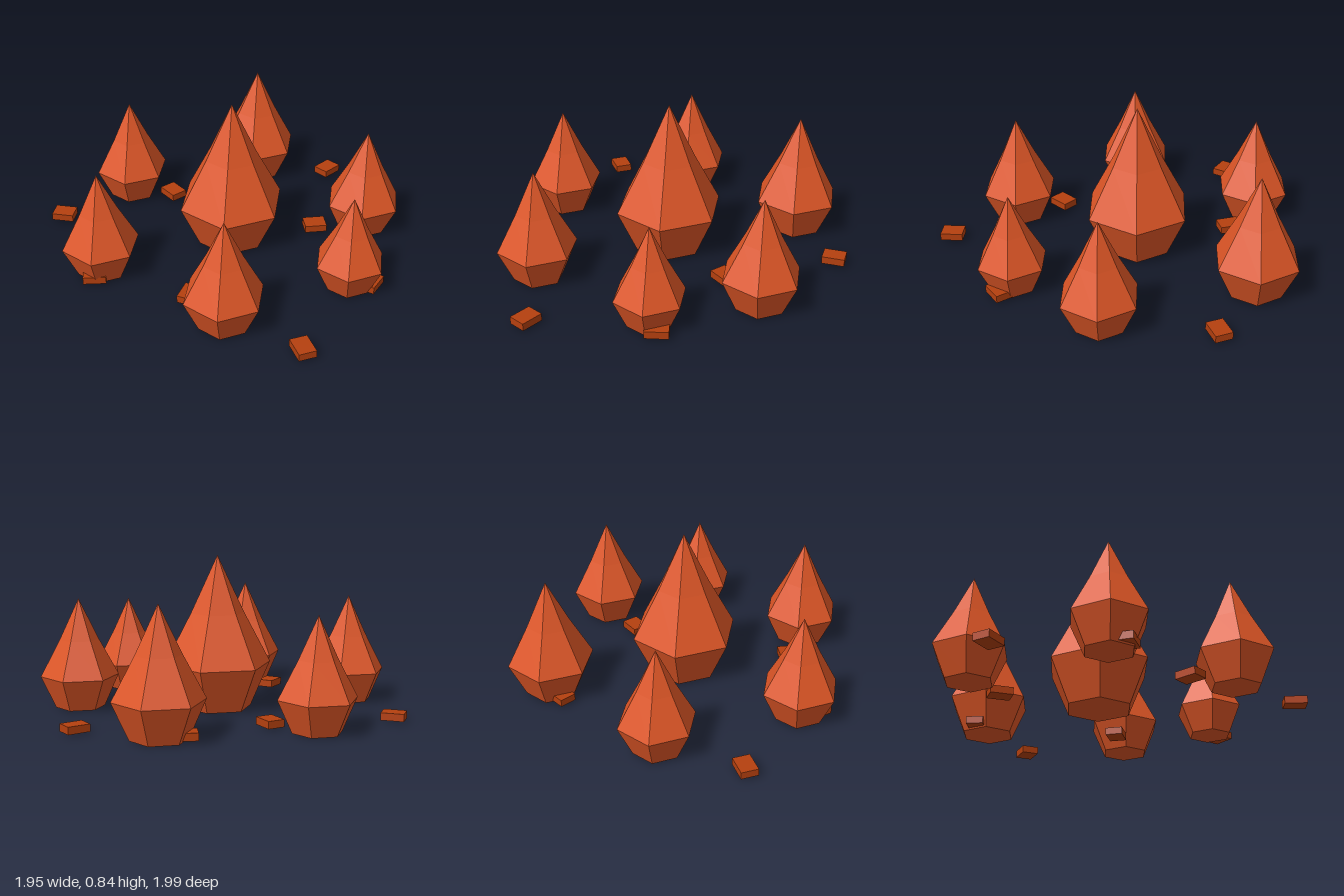
import * as THREE from 'three';

// Unit crystal: radius 1 at the waist, six sides, scaled per instance
function crystalGeometry() {
  const profile = [[0, 0], [0.63, 0], [1, 0.82], [0.5, 1.76], [0, 2.82]];
  const points = profile.map(([r, y]) => new THREE.Vector2(r, y));
  return new THREE.LatheGeometry(points, 6).toNonIndexed();
}

export function createModel() {
  const model = new THREE.Group();
  const crystalOrange = new THREE.MeshStandardMaterial({ color: 0xde5626 });
  const chipRust = new THREE.MeshStandardMaterial({ color: 0xb5400f });

  // Crystals: x, z, waist radius
  const geometry = crystalGeometry();
  geometry.computeVertexNormals(); // faceted
  const crystals = [
    [0.06, -0.01, 0.297],
    [0.115, -0.762, 0.236],
    [-0.588, -0.4, 0.209],
    [-0.585, 0.397, 0.21],
    [0.785, -0.23, 0.213],
    [0.733, 0.344, 0.19],
    [0.125, 0.748, 0.215],
  ];
  crystals.forEach(([x, z, r], i) => {
    const mesh = new THREE.Mesh(geometry, crystalOrange);
    mesh.name = i === 0 ? 'mainCrystal' : `sideCrystal${i}`;
    mesh.position.set(x, 0, z);
    mesh.scale.setScalar(r);
    model.add(mesh);
  });

  // Chips scattered on the ground: x, z, turn
  const chipShape = new THREE.BoxGeometry(0.122, 0.04, 0.094);
  const chips = [
    [-0.918, -0.055, -0.03],
    [-0.338, -0.378, -0.75],
    [0.557, -0.778, 0.91],
    [0.522, -0.15, 0.27],
    [-0.075, 0.585, 1.35],
    [0.537, 0.918, -1.09],
    [0.85, 0.348, 1.15],
    [-0.6, 0.5, 0.2],
    [-0.015, -0.75, 0.4],
  ];
  chips.forEach(([x, z, turn], i) => {
    const mesh = new THREE.Mesh(chipShape, chipRust);
    mesh.name = `chip${i + 1}`;
    mesh.position.set(x, 0.029, z);
    mesh.rotation.y = turn;
    model.add(mesh);
  });

  return model;
}
